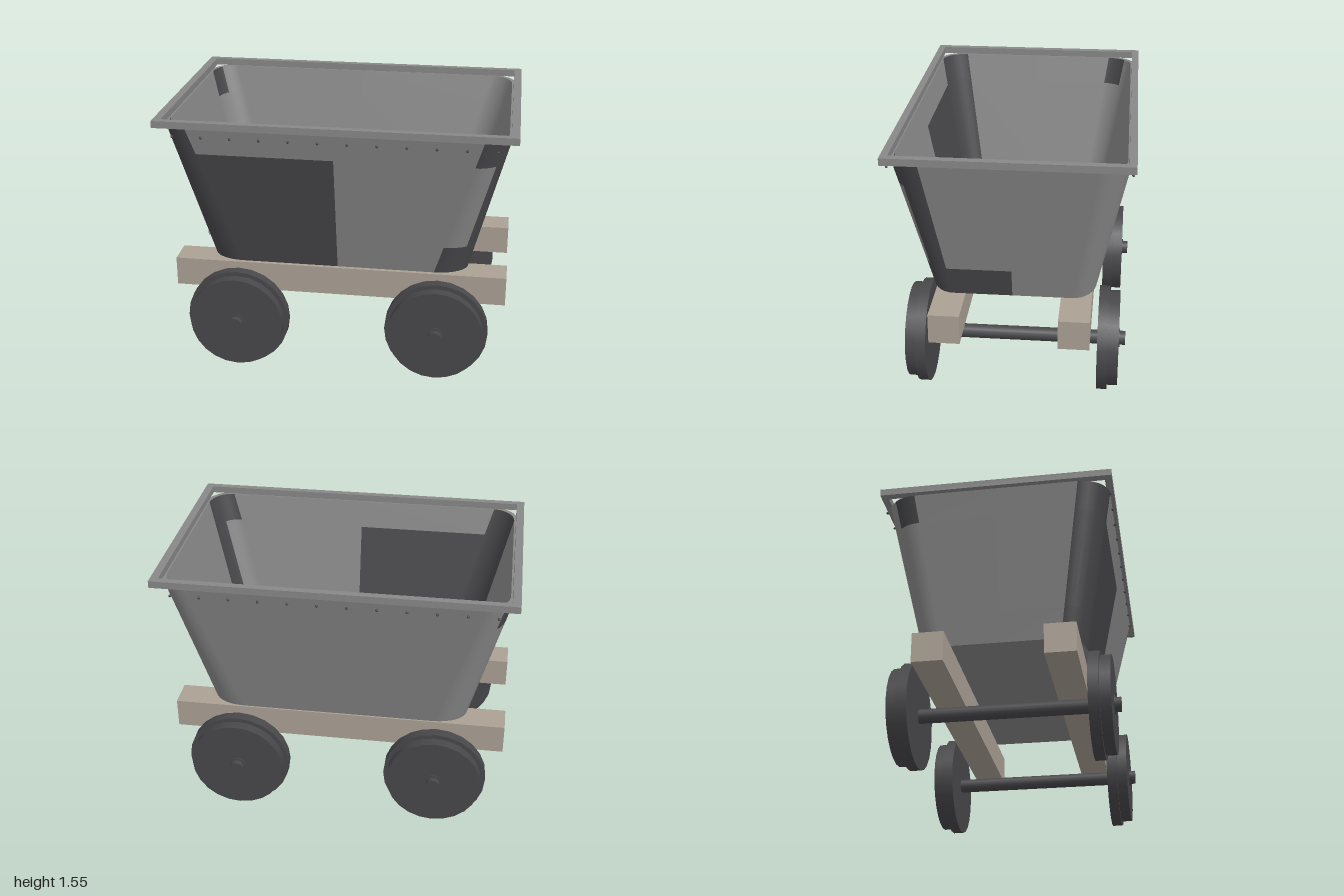
import * as THREE from 'three';

const paint = (color, side = THREE.FrontSide) => new THREE.MeshStandardMaterial({ color, side });
const steel = paint(0x888888), dark = paint(0x48484b), wood = paint(0xaba194);
const Y0 = 0.645, Y1 = 1.51, WALL = 0.025;
const lerp = THREE.MathUtils.lerp;

function add(parent, name, geometry, material, x = 0, y = 0, z = 0) {
  const mesh = new THREE.Mesh(geometry, material);
  mesh.name = name;
  mesh.position.set(x, y, z);
  parent.add(mesh);
  return mesh;
}

// Rounded rectangle at height y: 4 x (side midpoint + 9 corner points)
function outline(y, inset) {
  const t = (y - Y0) / (Y1 - Y0);
  const hx = lerp(0.75, 0.97, t) - inset, hz = lerp(0.465, 0.638, t) - inset;
  const rx = lerp(0.19, 0.15, t) - inset, rz = lerp(0.13, 0.17, t) - inset;
  const points = [];
  for (let k = 0; k < 4; k++) {
    const mid = k * Math.PI / 2;
    points.push({ x: hx * Math.cos(mid), z: hz * Math.sin(mid), a: mid });
    const sx = k === 0 || k === 3 ? 1 : -1, sz = k < 2 ? 1 : -1;
    for (let j = 0; j <= 8; j++) {
      const a = mid + j / 8 * Math.PI / 2;
      points.push({ x: sx * (hx - rx) + rx * Math.cos(a), z: sz * (hz - rz) + rz * Math.sin(a), a });
    }
  }
  return points;
}

// Which wall columns carry a dark plate in each height band (0 low, 1 middle, 2 top)
function isDark(i, band) {
  if (i <= 8) return band === 0 || (i >= 1 && (band === 2 || i <= 4));
  if (i === 10) return band < 2;
  if (i >= 11 && i <= 18) return true;
  return i >= 21 && i <= 24 && band === 2;
}

// One colour of the outer or inner wall
function wallGeometry(inset, wantDark) {
  const levels = [inset ? Y0 + WALL : Y0, 0.82, 1.35, Y1];
  const rings = levels.map(y => outline(y, inset));
  const s = inset ? -1 : 1, pos = [], nor = [], index = [];
  rings.forEach((ring, r) => ring.forEach(p => {
    const n = new THREE.Vector3(Math.cos(p.a), -0.23, Math.sin(p.a)).normalize().multiplyScalar(s);
    pos.push(p.x, levels[r], p.z);
    nor.push(n.x, n.y, n.z);
  }));
  for (let band = 0; band < 3; band++) for (let i = 0; i < 40; i++) {
    if (isDark(i, band) !== wantDark) continue;
    const a = band * 40 + i, b = band * 40 + (i + 1) % 40, c = a + 40, d = b + 40;
    if (inset) index.push(a, b, c, b, d, c);
    else index.push(a, c, b, b, c, d);
  }
  const g = new THREE.BufferGeometry();
  g.setAttribute('position', new THREE.Float32BufferAttribute(pos, 3));
  g.setAttribute('normal', new THREE.Float32BufferAttribute(nor, 3));
  g.setIndex(index);
  return g;
}

const flat = (y, inset) => outline(y, inset).map(p => new THREE.Vector2(p.x, p.z));

function createTub() {
  const tub = new THREE.Group();
  tub.name = 'tub';
  for (const [side, inset] of [['outer', 0], ['inner', WALL]]) {
    add(tub, side + 'Wall', wallGeometry(inset, false), steel);
    add(tub, side + 'DarkPlates', wallGeometry(inset, true), dark);
  }
  // Floor and the lip joining both walls
  const under = new THREE.ShapeGeometry(new THREE.Shape(flat(Y0, 0))).rotateX(Math.PI / 2);
  add(tub, 'underside', under, steel, 0, Y0);
  const floor = new THREE.ShapeGeometry(new THREE.Shape(flat(Y0 + WALL, WALL))).rotateX(-Math.PI / 2);
  add(tub, 'floor', floor, steel, 0, Y0 + WALL);
  const lip = new THREE.Shape(flat(Y1, 0));
  lip.holes.push(new THREE.Path(flat(Y1, WALL)));
  add(tub, 'lip', new THREE.ShapeGeometry(lip).rotateX(-Math.PI / 2), steel, 0, Y1);

  // Square rim bars and rivets
  for (const s of [-1, 1]) {
    add(tub, 'rimLong', new THREE.BoxGeometry(2, 0.04, 0.04), steel, 0, 1.53, s * 0.64);
    add(tub, 'rimEnd', new THREE.BoxGeometry(0.045, 0.04, 1.32), steel, s * 0.9775, 1.53, 0);
    for (let i = 0; i < 12; i++)
      add(tub, 'rivet', new THREE.SphereGeometry(0.008, 8, 6), dark, -0.89 + i * 1.78 / 11, 1.46, s * 0.643);
  }
  return tub;
}

// Flanged wheel with its outer face towards +z
function createWheel() {
  const wheel = new THREE.Group();
  wheel.name = 'wheel';
  const disc = (name, r, z0, z1) => add(wheel, name,
    new THREE.CylinderGeometry(r, r, z1 - z0, 24).rotateX(Math.PI / 2), dark, 0, 0, (z0 + z1) / 2);
  disc('flange', 0.3, 0.483, 0.543);
  disc('tread', 0.275, 0.543, 0.603);
  disc('hub', 0.053, 0.6, 0.608);
  return wheel;
}

export function createModel() {
  const model = new THREE.Group();
  model.name = 'mineCart';
  model.add(createTub());

  // Timber chassis beams
  for (const s of [-1, 1])
    add(model, 'beam', new THREE.BoxGeometry(1.95, 0.172, 0.174), wood, 0, 0.537, s * 0.357);

  // Two wheelsets
  for (const x of [-0.585, 0.585]) {
    const set = new THREE.Group();
    set.name = 'wheelset';
    set.position.set(x, 0.303, 0);
    add(set, 'axle', new THREE.CylinderGeometry(0.041, 0.041, 1.28, 16).rotateX(Math.PI / 2), dark);
    for (const turn of [0, Math.PI]) {
      const wheel = createWheel();
      wheel.rotation.y = turn;
      set.add(wheel);
    }
    model.add(set);
  }
  return model;
}
